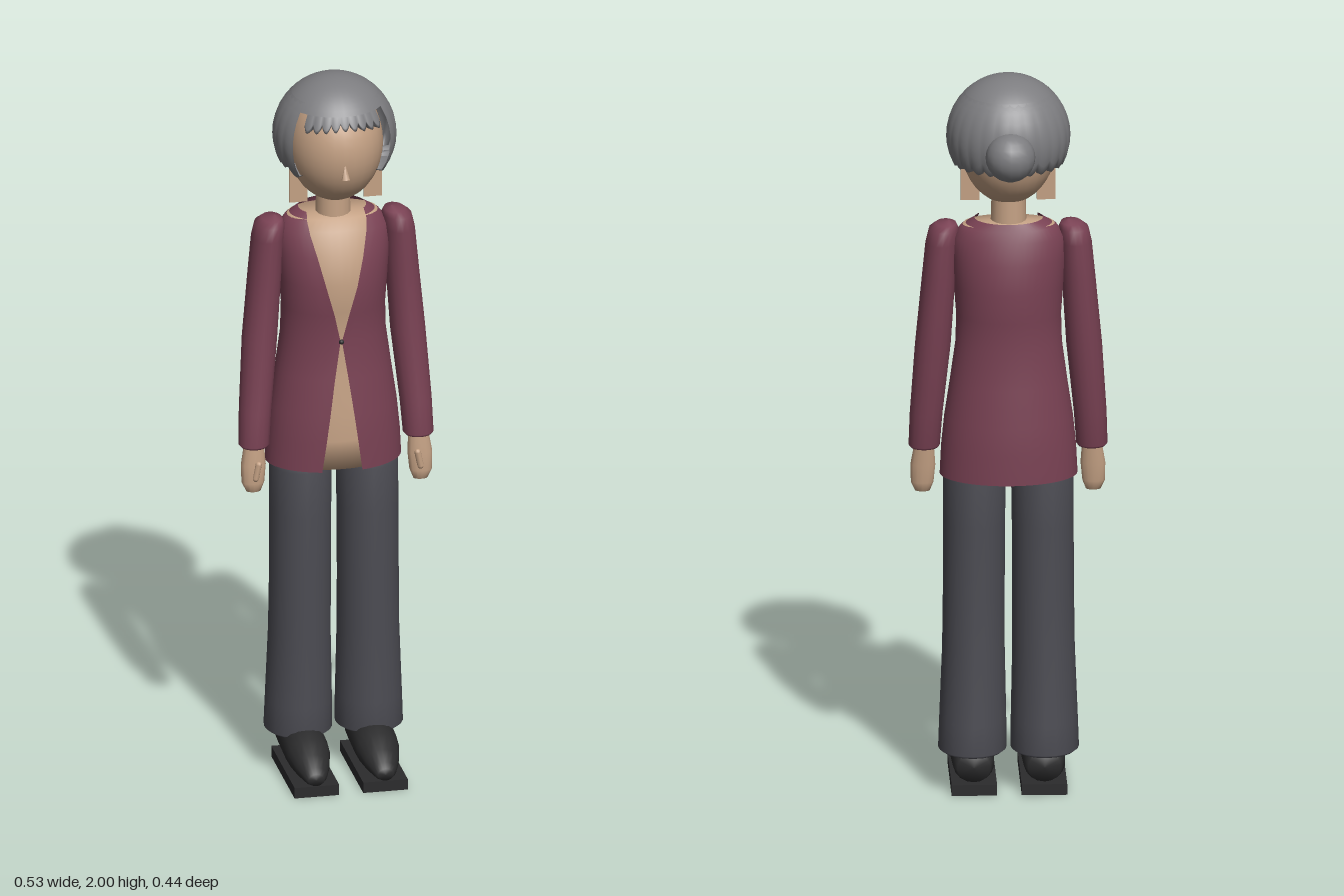
import * as THREE from 'three';

const mat = (name, color, side = THREE.FrontSide) => {
  const m = new THREE.MeshStandardMaterial({ color, side });
  m.name = name;
  return m;
};

// Surface from a rule fn(u, v) -> [x, y, z]; u runs round, v runs up
function grid(n, m, fn, closed = false) {
  const pos = [], index = [], w = closed ? n : n + 1;
  for (let i = 0; i <= m; i++)
    for (let j = 0; j < w; j++) pos.push(...fn(j / n, i / m));
  for (let i = 0; i < m; i++)
    for (let j = 0; j < n; j++) {
      const k = (j + 1) % w, a = i * w + j, b = i * w + k;
      index.push(a, b, b + w, a, b + w, a + w);
    }
  const g = new THREE.BufferGeometry();
  g.setAttribute('position', new THREE.Float32BufferAttribute(pos, 3));
  g.setIndex(index);
  g.computeVertexNormals();
  return g;
}

// Elliptical sections [y, cx, cz, rx, rz, half gap at the front]
function loft(sections, n = 20, open = false) {
  const m = sections.length - 1;
  return grid(n, m, (u, v) => {
    const [y, cx, cz, rx, rz, gap = 0] = sections[Math.round(v * m)];
    const g = open ? Math.asin(Math.min(1, gap / rx)) : 0;
    const a = g + u * (2 * Math.PI - 2 * g);
    return [cx + rx * Math.sin(a), y, cz + rz * Math.cos(a)];
  }, !open);
}

export function createModel() {
  const root = new THREE.Group();
  root.name = 'figure';
  const skin = mat('skin', 0xc4a184);
  const hair = mat('greyHair', 0x7d7d80, THREE.DoubleSide);
  const wool = mat('burgundyJacket', 0x7a4254, THREE.DoubleSide);
  const cloth = mat('charcoalTrousers', 0x4c4c53);
  const leather = mat('blackLeather', 0x2b2b2c);

  const add = (name, geometry, material, x = 0, y = 0, z = 0) => {
    const mesh = new THREE.Mesh(geometry, material);
    mesh.name = name;
    mesh.position.set(x, y, z);
    root.add(mesh);
    return mesh;
  };

  // Head, nose and neck
  add('head', new THREE.SphereGeometry(1, 28, 20), skin, 0, 1.81, 0).scale.set(0.13, 0.165, 0.145);
  const nose = add('nose', new THREE.ConeGeometry(0.012, 0.045, 6), skin, 0, 1.775, 0.145);
  nose.rotation.x = -0.2;
  add('neck', new THREE.CylinderGeometry(0.045, 0.049, 0.14, 16), skin, 0, 1.63, -0.018);

  // Hair: crown, scalloped back and sides, fringe, bun
  const R = 0.165, HY = 1.835;
  const ring = (y) => Math.sqrt(Math.max(0, R * R - (y - HY) ** 2));
  add('hairCrown', new THREE.SphereGeometry(R, 32, 10, 0, Math.PI * 2, 0, 0.96), hair, 0, HY, 0);
  const curtain = (a0, a1, locks, top, bottom, scale, tuck) =>
    grid(locks * 6, 9, (u, v) => {
      const a = a0 + u * (a1 - a0);
      const bulge = Math.abs(Math.sin(u * locks * Math.PI));
      const low = bottom(u) - 0.018 * bulge;
      const k = Math.max(0, (v * 9 - 1) / 8);
      const y = low + (top - low) * k;
      const r = v === 0 ? tuck : ring(y) * scale + 0.003 * bulge * (1 - k);
      return [r * Math.sin(a), y, r * Math.cos(a)];
    });
  const sideAngle = 0.95;
  add('hairBack', curtain(sideAngle, Math.PI * 2 - sideAngle, 18, 1.953,
    (u) => 1.775 - 0.03 * Math.max(0, Math.abs(u - 0.5) * 16 - 7), 1, 0.12), hair);
  add('fringe', curtain(-0.8, 0.8, 9, 1.953,
    (u) => 1.91 - 0.012 * Math.abs(u * 2 - 1), 0.94, 0.125), hair);
  add('bun', new THREE.SphereGeometry(0.067, 16, 12), hair, 0, 1.817, -0.156);

  // Torso and open jacket share one set of sections
  const body = [
    [0.89, 0, -0.02, 0.185, 0.13, 0.055],
    [0.97, 0, -0.02, 0.181, 0.131, 0.044],
    [1.05, 0, -0.02, 0.173, 0.128, 0.033],
    [1.15, 0, -0.02, 0.158, 0.118, 0.019],
    [1.26, 0, -0.02, 0.143, 0.11, 0.002],
    [1.34, 0, -0.018, 0.141, 0.119, 0.02],
    [1.42, 0, -0.018, 0.147, 0.125, 0.042],
    [1.5, 0, -0.022, 0.153, 0.114, 0.062],
    [1.56, 0, -0.028, 0.151, 0.092, 0.077],
    [1.59, 0, -0.03, 0.128, 0.08, 0.081],
    [1.61, 0, -0.03, 0.092, 0.073, 0.078],
  ];
  add('jacket', loft(body, 40, true), wool);
  const inner = body.slice(0, -1).map(([y, x, z, rx, rz]) => [y + 0.006, x, z, rx - 0.007, rz - 0.006]);
  add('torso', loft([[0.896, 0, -0.02, 0, 0], ...inner, [1.605, 0, -0.02, 0, 0]], 40), skin);
  add('jacketButton', new THREE.SphereGeometry(0.007, 10, 8), leather, 0, 1.26, 0.092);

  for (const s of [1, -1]) {
    const side = s > 0 ? 'left' : 'right';
    const limb = (name, sections, material, n) =>
      add(side + name, loft(sections.map(([y, x, ...rest]) => [y, x * s, ...rest]), n), material);

    // Thin flap beside the jaw
    add(side + 'JawFlap', new THREE.BoxGeometry(0.05, 0.11, 0.006), skin, s * 0.102, 1.7, 0.015);

    limb('Sleeve', [
      [0.965, 0.225, 0.022, 0, 0],
      [0.95, 0.225, 0.022, 0.036, 0.034],
      [0.957, 0.225, 0.021, 0.042, 0.041],
      [1.05, 0.22, 0.011, 0.044, 0.045],
      [1.25, 0.203, -0.012, 0.048, 0.05],
      [1.45, 0.187, -0.018, 0.045, 0.056],
      [1.54, 0.18, -0.018, 0.043, 0.061],
      [1.578, 0.174, -0.018, 0.04, 0.057],
      [1.592, 0.168, -0.018, 0.028, 0.04],
      [1.6, 0.16, -0.018, 0, 0],
    ], wool, 16);

    // Hand with a thumb and curled fingertips
    limb('Hand', [
      [0.82, 0.229, 0.032, 0, 0],
      [0.825, 0.229, 0.032, 0.02, 0.014],
      [0.85, 0.23, 0.031, 0.031, 0.021],
      [0.9, 0.228, 0.028, 0.034, 0.022],
      [0.94, 0.226, 0.024, 0.029, 0.022],
      [0.97, 0.225, 0.022, 0.025, 0.022],
    ], skin, 14);
    const thumb = add(side + 'Thumb', new THREE.CapsuleGeometry(0.009, 0.04, 4, 8), skin, s * 0.222, 0.885, 0.049);
    thumb.rotation.z = s * 0.2;

    limb('TrouserLeg', [
      [0.125, 0.097, -0.015, 0, 0],
      [0.11, 0.097, -0.015, 0.082, 0.09],
      [0.118, 0.097, -0.015, 0.092, 0.1],
      [0.2, 0.096, -0.013, 0.09, 0.097],
      [0.4, 0.094, -0.01, 0.084, 0.091],
      [0.55, 0.093, -0.007, 0.083, 0.092],
      [0.75, 0.092, -0.008, 0.083, 0.091],
      [0.88, 0.091, -0.01, 0.084, 0.092],
      [0.915, 0.09, -0.012, 0.07, 0.078],
      [0.925, 0.09, -0.012, 0, 0],
    ], cloth, 20);

    // Shoe, lofted from heel to toe and laid down
    const shoe = [
      [-0.078, 0.095, -0.075, 0, 0],
      [-0.075, 0.095, -0.075, 0.045, 0.04],
      [-0.05, 0.095, -0.083, 0.056, 0.056],
      [0.07, 0.095, -0.084, 0.061, 0.058],
      [0.12, 0.095, -0.077, 0.058, 0.051],
      [0.17, 0.095, -0.064, 0.046, 0.038],
      [0.205, 0.095, -0.053, 0.032, 0.026],
      [0.217, 0.095, -0.047, 0.022, 0.017],
      [0.219, 0.095, -0.047, 0, 0],
    ].map(([z, x, ...rest]) => [z, x * s, ...rest]);
    add(side + 'Shoe', loft(shoe, 18).rotateX(Math.PI / 2), leather);
    add(side + 'Sole', new THREE.BoxGeometry(0.122, 0.03, 0.304), leather, s * 0.094, 0.015, 0.067);
  }
  return root;
}
